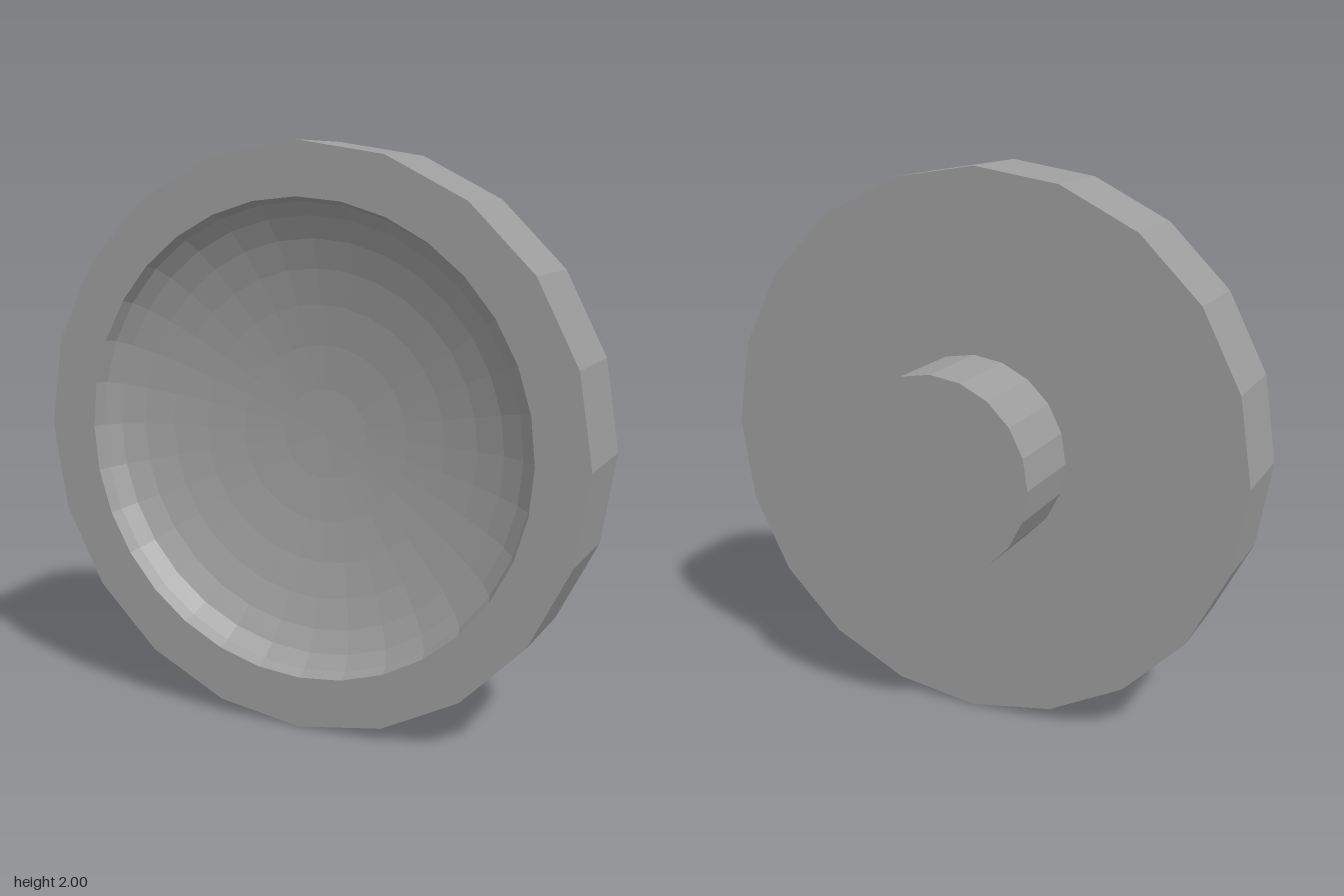
import * as THREE from 'three';

const DISC_R = 1, DEPTH = 0.333, SIDES = 20;
const BOWL_R = 0.82, BOWL_DEPTH = 0.22, BOWL_SIDES = 32, BOWL_RINGS = 8;
const HUB_R = 0.353;

// Regular polygon with a corner on the +x axis
const polygon = (r, n) => Array.from({ length: n }, (_, i) => {
  const a = (i / n) * Math.PI * 2;
  return new THREE.Vector2(r * Math.cos(a), r * Math.sin(a));
});

export function createModel() {
  const group = new THREE.Group();
  const material = new THREE.MeshStandardMaterial({ color: 0x9d9d9d, flatShading: true });
  const add = (name, geometry, z = 0) => {
    const mesh = new THREE.Mesh(geometry, material);
    mesh.name = name;
    mesh.position.set(0, 1, z);
    group.add(mesh);
  };

  // Outer wall of the disc
  add('discWall', new THREE.CylinderGeometry(DISC_R, DISC_R, DEPTH, SIDES, 1, true).rotateX(Math.PI / 2), DEPTH / 2);

  // Flat back of the disc
  add('discBack', new THREE.CircleGeometry(DISC_R, SIDES).rotateY(Math.PI));

  // Flat front rim around the bowl opening
  const rim = new THREE.Shape(polygon(DISC_R, SIDES));
  rim.holes.push(new THREE.Path(polygon(BOWL_R, BOWL_SIDES)));
  add('frontRim', new THREE.ShapeGeometry(rim), DEPTH);

  // Hollow half-ellipsoid bowl, profile runs from the opening to the bottom
  const profile = Array.from({ length: BOWL_RINGS + 1 }, (_, i) => {
    const a = (i / BOWL_RINGS) * Math.PI / 2;
    return new THREE.Vector2(BOWL_R * Math.cos(a), -BOWL_DEPTH * Math.sin(a));
  });
  add('bowl', new THREE.LatheGeometry(profile, BOWL_SIDES).rotateX(Math.PI / 2), DEPTH);

  // Round hub on the back
  add('rearHub', new THREE.CylinderGeometry(HUB_R, HUB_R, DEPTH, SIDES).rotateX(Math.PI / 2), -DEPTH / 2);

  return group;
}
